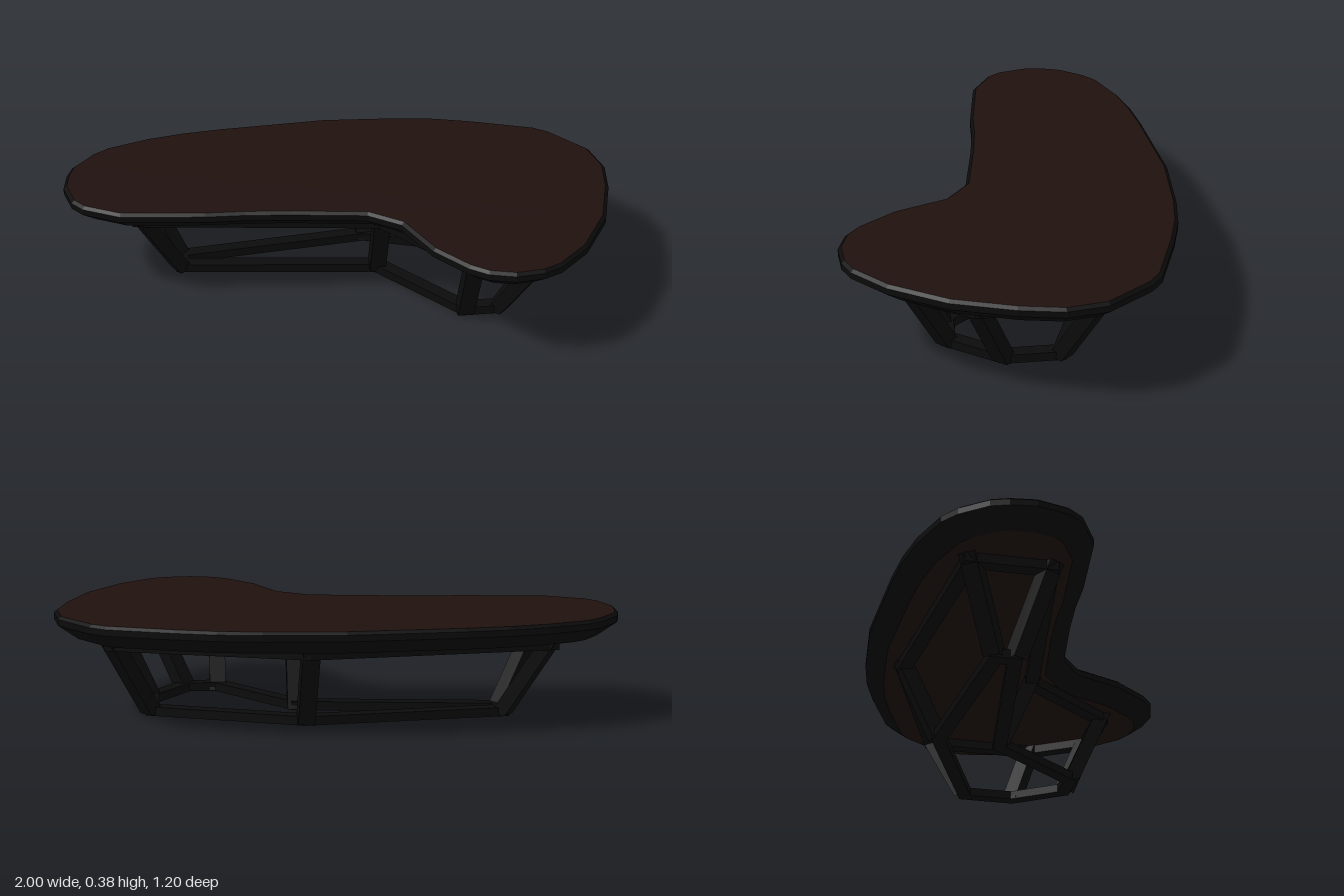
import * as THREE from 'three';

const dark = new THREE.MeshStandardMaterial({ color: 0x0b0b0b, flatShading: true });
const brown = new THREE.MeshStandardMaterial({ color: 0x1f110e, flatShading: true });

// Table outline as [x, z], clockwise seen from above
const OUTLINE = [
  [-1, -0.19], [-0.99, -0.28], [-0.97, -0.34], [-0.9, -0.43], [-0.84, -0.475], [-0.69, -0.53],
  [-0.55, -0.56], [-0.4, -0.577], [-0.2, -0.59], [0, -0.603], [0.28, -0.583], [0.43, -0.56],
  [0.57, -0.52], [0.8, -0.437], [0.855, -0.395], [0.97, -0.24], [0.995, -0.1], [0.97, 0.05],
  [0.905, 0.26], [0.79, 0.45], [0.675, 0.56], [0.61, 0.59], [0.51, 0.6], [0.42, 0.575],
  [0.36, 0.53], [0.26, 0.405], [0.18, 0.22], [0.07, 0.14], [-0.2, 0.1], [-0.36, 0.083],
  [-0.5, 0.077], [-0.8, 0.04], [-0.93, -0.03], [-0.97, -0.08],
];

// Corners of the floor loop and of the wider loop under the top
const LOW = [[-0.585, -0.18], [-0.585, -0.245], [0.12, -0.32], [0.655, -0.13],
  [0.66, 0.06], [0.535, 0.24], [0.415, 0.24], [0.14, -0.09]];
const HIGH = [[-0.735, -0.09], [-0.735, -0.36], [0.11, -0.46], [0.79, -0.25],
  [0.8, 0.165], [0.67, 0.37], [0.415, 0.37], [0.14, 0.03]];

// Moves every side of a closed outline inwards by d
function inset(points, d) {
  const n = points.length;
  const normal = (a, b) => {
    const l = Math.hypot(b[0] - a[0], b[1] - a[1]);
    return [(a[1] - b[1]) / l, (b[0] - a[0]) / l];
  };
  return points.map((p, i) => {
    const u = normal(points[(i + n - 1) % n], p);
    const v = normal(p, points[(i + 1) % n]);
    const k = d / (1 + u[0] * v[0] + u[1] * v[1]);
    return [p[0] + k * (u[0] + v[0]), p[1] + k * (u[1] + v[1])];
  });
}

// Skins a series of { points, y } cross-sections
function loft(rings) {
  const n = rings[0].points.length;
  const pos = rings.flatMap((r) => r.points.flatMap(([x, z]) => [x, r.y, z]));
  const index = [];
  for (let r = 0; r < rings.length - 1; r++) {
    for (let i = 0; i < n; i++) {
      const a = r * n + i, b = r * n + (i + 1) % n;
      index.push(a, a + n, b + n, a, b + n, b);
    }
  }
  const g = new THREE.BufferGeometry();
  g.setAttribute('position', new THREE.Float32BufferAttribute(pos, 3));
  g.setIndex(index);
  const flat = g.toNonIndexed();
  flat.computeVertexNormals();
  return flat;
}

// Flat panel facing up or down
function panel(points, y, up) {
  const s = up ? -1 : 1;
  const shape = new THREE.Shape(points.map(([x, z]) => new THREE.Vector2(x, s * z)));
  return new THREE.ShapeGeometry(shape).rotateX(s * Math.PI / 2).translate(0, y, 0);
}

// Mitred rail following a closed loop
function rail(points, y0, y1, width) {
  const outer = inset(points, -width / 2), inner = inset(points, width / 2);
  return loft([
    { points: outer, y: y0 }, { points: outer, y: y1 },
    { points: inner, y: y1 }, { points: inner, y: y0 }, { points: outer, y: y0 },
  ]);
}

// Slanted square post between a low and a high corner
function post(a, b, y0, y1, half) {
  const l = Math.hypot(b[0] - a[0], b[1] - a[1]);
  const m = [(b[0] - a[0]) / l * half, (b[1] - a[1]) / l * half];
  const square = (c) => [[-1, -1], [1, -1], [1, 1], [-1, 1]].map(([i, j]) =>
    [c[0] + i * m[0] - j * m[1], c[1] + i * m[1] + j * m[0]]);
  return loft([{ points: square(a), y: y0 }, { points: square(b), y: y1 }]);
}

export function createModel() {
  const model = new THREE.Group();
  const add = (name, geometry, material, parent = model) => {
    const mesh = new THREE.Mesh(geometry, material);
    mesh.name = name;
    parent.add(mesh);
  };

  // Table top with dark bevelled rim
  const topFace = inset(OUTLINE, 0.012), underFace = inset(OUTLINE, 0.07);
  add('topRim', loft([
    { points: underFace, y: 0.295 }, { points: OUTLINE, y: 0.348 },
    { points: OUTLINE, y: 0.37 }, { points: topFace, y: 0.38 },
  ]), dark);
  add('topPanel', panel(topFace, 0.38, true), brown);
  add('undersidePanel', panel(underFace, 0.295, false), brown);

  // Base frame
  const base = new THREE.Group();
  base.name = 'base';
  model.add(base);
  add('floorRail', rail(LOW, 0, 0.032, 0.05), dark, base);
  add('upperRail', rail(HIGH, 0.262, 0.295, 0.05), dark, base);
  LOW.forEach((p, i) => add('leg' + (i + 1), post(p, HIGH[i], 0.004, 0.294, 0.03), dark, base));

  return model;
}
